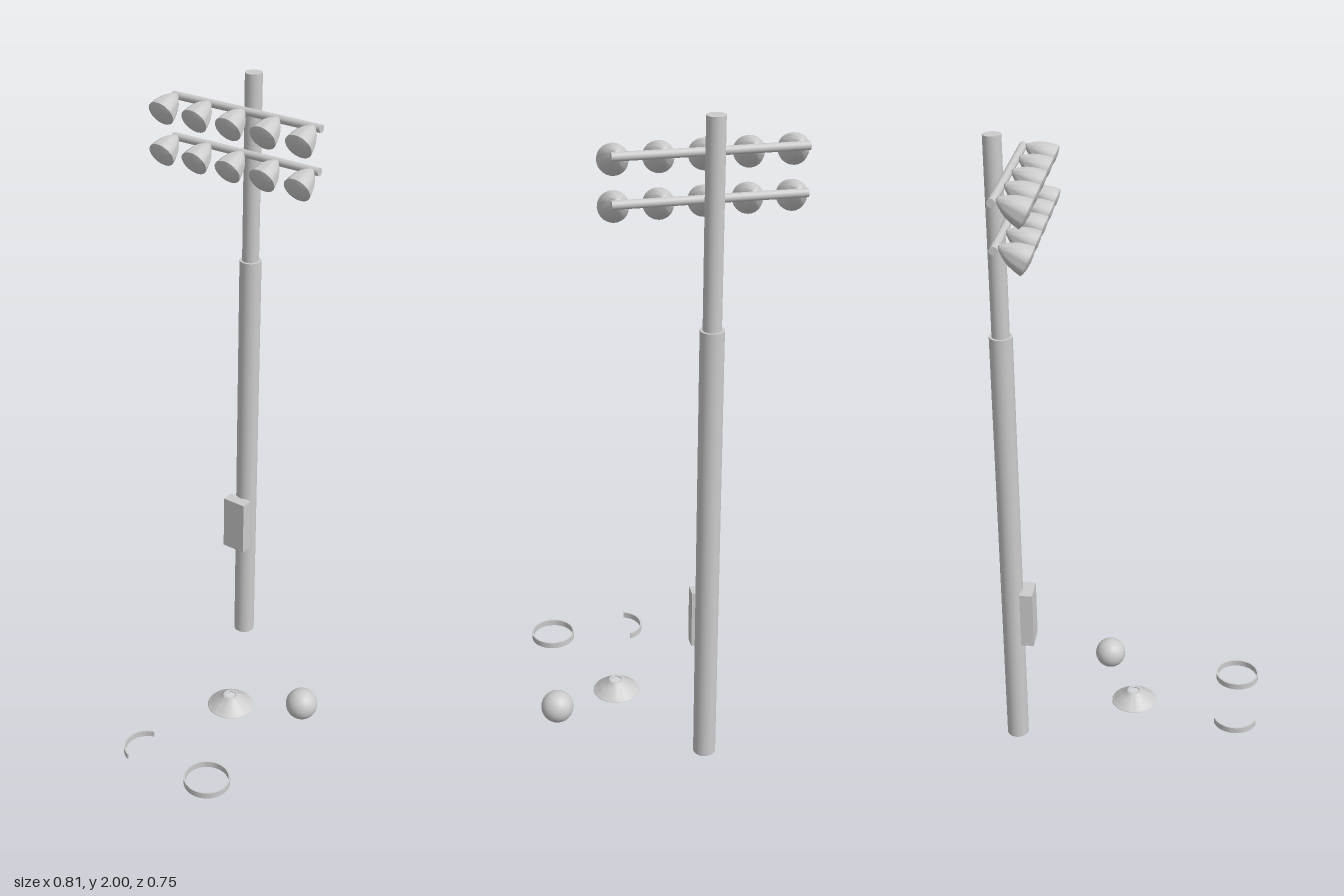
import * as THREE from 'three';
import { toCreasedNormals } from 'three/addons/utils/BufferGeometryUtils.js';

const grey = new THREE.MeshStandardMaterial({ color: 0xcccccc });
const greyDouble = new THREE.MeshStandardMaterial({ color: 0xcccccc, side: THREE.DoubleSide });

function add(parent, name, geometry, x, y, z, material = grey) {
  const mesh = new THREE.Mesh(geometry, material);
  mesh.name = name;
  mesh.position.set(x, y, z);
  parent.add(mesh);
  return mesh;
}

// Lathe from [radius, height] pairs, with hard edges kept sharp
function lathe(points, segments = 32, crease = 0.35) {
  const profile = points.map(([r, y]) => new THREE.Vector2(r, y));
  return toCreasedNormals(new THREE.LatheGeometry(profile, segments), crease);
}

// Flat band bent round the y axis, from angle a0 to a1
function band(outer, inner, height, a0, a1) {
  const shape = new THREE.Shape();
  const full = a1 - a0 >= Math.PI * 2;
  shape.absarc(0, 0, outer, a0, a1, false);
  if (full) {
    const hole = new THREE.Path();
    hole.absarc(0, 0, inner, 0, Math.PI * 2, true);
    shape.holes.push(hole);
  } else {
    shape.absarc(0, 0, inner, a1, a0, true);
    shape.closePath();
  }
  const geometry = new THREE.ExtrudeGeometry(shape, { depth: height, bevelEnabled: false, curveSegments: 40 });
  geometry.rotateX(-Math.PI / 2);
  return toCreasedNormals(geometry, 0.5);
}

function createLamp(geometry) {
  const lamp = new THREE.Group();
  lamp.name = 'floodlight';
  add(lamp, 'lampHousing', geometry, 0, 0, 0);
  // Lamp axis points to -x, dipping below the horizontal
  lamp.rotation.z = Math.PI / 2 + THREE.MathUtils.degToRad(27);
  return lamp;
}

export function createModel() {
  const model = new THREE.Group();
  model.name = 'floodlightSet';
  const poleX = 0.37, poleZ = -0.092;

  // Mast in two diameters, with a control box on its inner side
  const mast = new THREE.Group();
  mast.name = 'mast';
  model.add(mast);
  add(mast, 'lowerPole', new THREE.CylinderGeometry(0.034, 0.034, 1.399, 32), poleX, 0.7175, poleZ);
  add(mast, 'upperPole', new THREE.CylinderGeometry(0.026, 0.026, 0.59, 32), poleX, 1.705, poleZ);
  add(mast, 'controlBox', new THREE.BoxGeometry(0.04, 0.184, 0.08), 0.321, 0.478, -0.094);

  // Two crossbars of five lamps each
  const barGeometry = new THREE.CylinderGeometry(0.012, 0.012, 0.525, 20);
  barGeometry.rotateX(Math.PI / 2);
  // Bell profile, from the lens centre round the rim to the neck
  const lampGeometry = lathe([
    [0, 0.009], [0.022, 0.007], [0.037, 0.003], [0.043, 0],
    [0.040, -0.018], [0.034, -0.04], [0.026, -0.057], [0.015, -0.073], [0.008, -0.082], [0, -0.085],
  ].reverse(), 28, 0.5);
  for (const barY of [1.895, 1.768]) {
    const row = new THREE.Group();
    row.name = 'lampRow';
    mast.add(row);
    add(row, 'crossbar', barGeometry, 0.33, barY, poleZ);
    for (let i = -2; i <= 2; i++) {
      const lamp = createLamp(lampGeometry);
      lamp.position.set(0.244, barY - 0.032, poleZ + i * 0.1215);
      row.add(lamp);
    }
  }

  // Hollow training cone with stepped rings and an open top
  add(model, 'discCone', lathe([
    [0.073, 0.013], [0.075, 0.014], [0.074, 0.016], [0.063, 0.023], [0.061, 0.025],
    [0.053, 0.031], [0.051, 0.033], [0.042, 0.038], [0.040, 0.040], [0.027, 0.050],
    [0.024, 0.054], [0.018, 0.055], [0.015, 0.053], [0.016, 0.050],
    [0.024, 0.047], [0.038, 0.037], [0.073, 0.013],
  ], 40), 0.0075, 0, 0.114, greyDouble);

  // Ball
  add(model, 'ball', new THREE.SphereGeometry(0.051, 40, 28), 0.11, 0.053, 0.324);

  // Full ring and a partial ring lying on the ground
  add(model, 'ring', band(0.072, 0.067, 0.02, 0, Math.PI * 2), -0.334, 0.014, 0.272);
  const dip = THREE.MathUtils.degToRad(-19);
  add(model, 'halfRing', band(0.072, 0.067, 0.02, -dip, Math.PI + dip), -0.334, 0.014, 0.035);

  return model;
}
